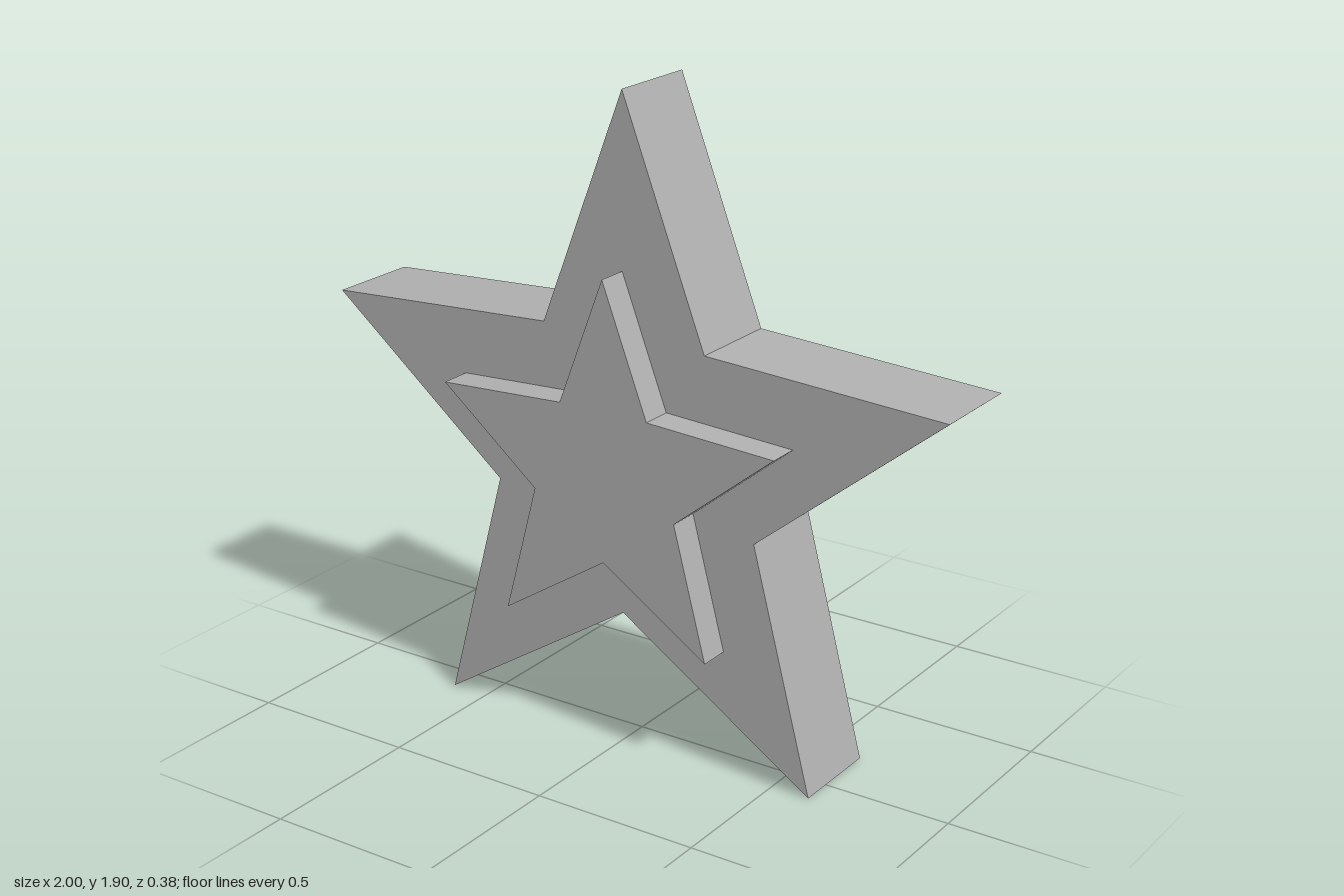
import * as THREE from 'three';

const grey = new THREE.MeshStandardMaterial({ color: 0xb0b0b0 });
grey.name = 'grey';

// Five-pointed star plate, extruded from zBack to zFront
function star(name, centreY, tipRadius, notchRadius, zBack, zFront) {
  const points = [];
  for (let i = 0; i < 10; i++) {
    const angle = Math.PI / 2 + (i * Math.PI) / 5;
    const radius = i % 2 ? notchRadius : tipRadius;
    points.push(new THREE.Vector2(radius * Math.cos(angle), radius * Math.sin(angle)));
  }
  const geometry = new THREE.ExtrudeGeometry(new THREE.Shape(points), {
    depth: zFront - zBack,
    bevelEnabled: false,
  });
  const mesh = new THREE.Mesh(geometry, grey);
  mesh.name = name;
  mesh.position.set(0, centreY, zBack);
  return mesh;
}

export function createModel() {
  const model = new THREE.Group();
  model.name = 'star';
  // Thick main star with a smaller raised star on its front
  model.add(star('mainStar', 0.851, 1.0515, 0.451, -0.19, 0.095));
  model.add(star('raisedStar', 0.832, 0.573, 0.245, 0.095, 0.19));
  return model;
}
